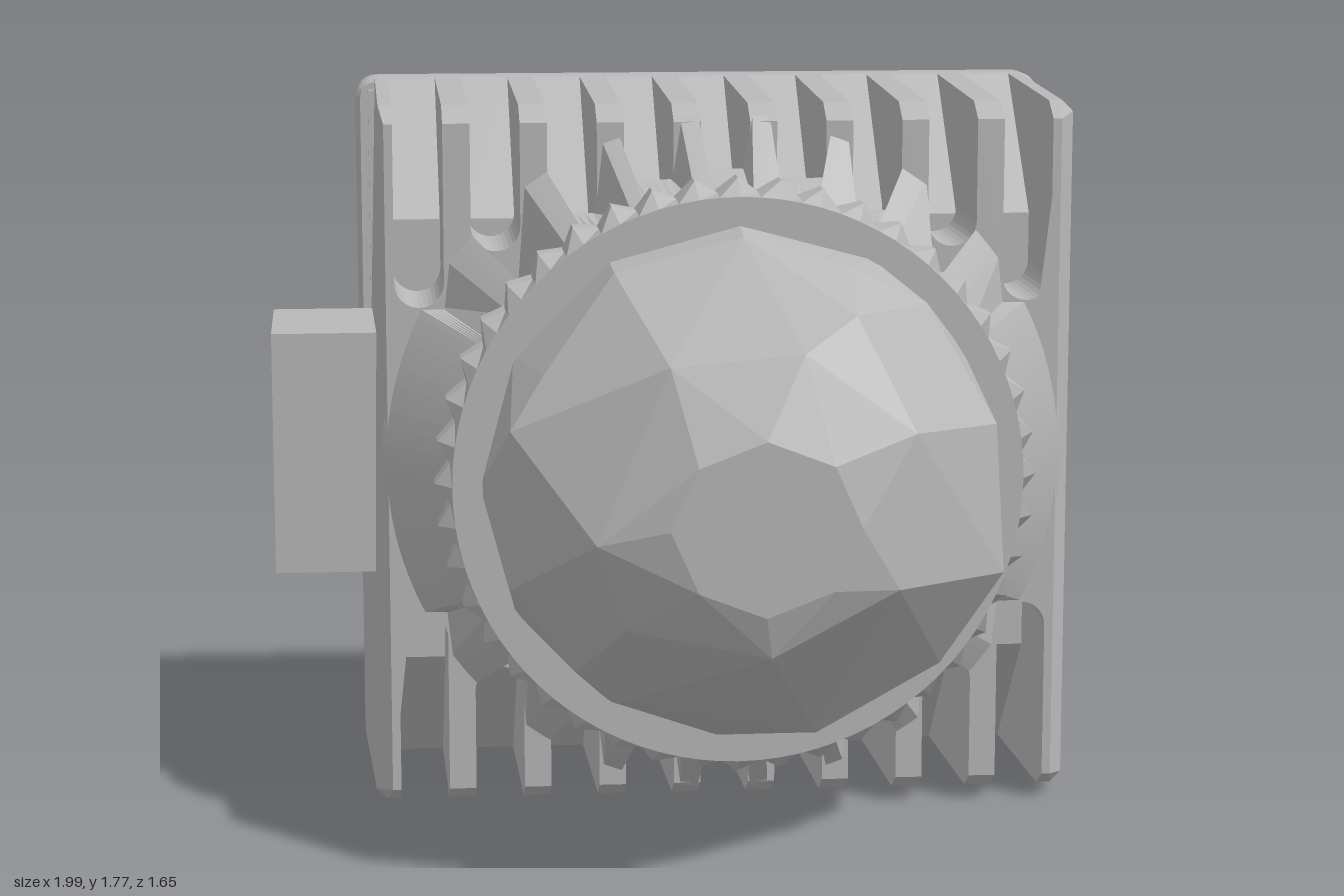
import * as THREE from 'three';
import { ConvexGeometry } from 'three/addons/geometries/ConvexGeometry.js';

const CX = 0.105, CY = 0.9;            // axis of housing and lens
const HALF = 0.887;                    // half size of the square housing
const SLOT = 0.06;                     // half width of a cooling slot
const slotXs = Array.from({ length: 9 }, (_, i) => (i - 4) * 0.186);
// distance from the axis at which each slot ends, following a circle of radius r
const slotEnd = (x, r) => Math.max(0.38, Math.sqrt(Math.max(0, r * r - x * x)));
const housingSlotEnd = x => Math.min(0.52, slotEnd(x, 0.76));

// move every vertex by a rule and make the faces flat
function reshape(geometry, rule) {
  const g = geometry.index ? geometry.toNonIndexed() : geometry;
  const p = g.attributes.position, v = new THREE.Vector3();
  for (let i = 0; i < p.count; i++) {
    v.fromBufferAttribute(p, i);
    rule(v);
    p.setXYZ(i, v.x, v.y, v.z);
  }
  g.computeVertexNormals();
  return g;
}

// square outline with rounded-end slots in top and bottom
function finnedShape() {
  const h = HALF, c = 0.05, s = new THREE.Shape();
  s.moveTo(-h, -h + c);
  s.lineTo(-h + c, -h);
  for (const x of slotXs) {
    s.lineTo(x - SLOT, -h);
    s.absarc(x, -housingSlotEnd(x) - SLOT, SLOT, Math.PI, 0, true);
    s.lineTo(x + SLOT, -h);
  }
  s.lineTo(h - c, -h);
  s.lineTo(h, -h + c);
  s.lineTo(h, h - c);
  s.lineTo(h - c, h);
  for (const x of [...slotXs].reverse()) {
    s.lineTo(x + SLOT, h);
    s.absarc(x, housingSlotEnd(x) + SLOT, SLOT, 0, Math.PI, true);
    s.lineTo(x - SLOT, h);
  }
  s.lineTo(-h + c, h);
  s.closePath();
  return s;
}

// back plate outline with screw holes and hanging slots
function plateShape() {
  const h = HALF - 0.012, c = 0.05, s = new THREE.Shape();
  s.moveTo(-h + c, -h);
  s.lineTo(h - c, -h);
  s.quadraticCurveTo(h, -h, h, -h + c);
  s.lineTo(h, h - c);
  s.quadraticCurveTo(h, h, h - c, h);
  s.lineTo(-h + c, h);
  s.quadraticCurveTo(-h, h, -h, h - c);
  s.lineTo(-h, -h + c);
  s.quadraticCurveTo(-h, -h, -h + c, -h);
  const hole = (x, y, r, tall = 0) => {
    const p = new THREE.Path();
    p.absarc(x, y + tall, r, 0, Math.PI, false);
    p.absarc(x, y - tall, r, Math.PI, Math.PI * 2, false);
    p.closePath();
    s.holes.push(p);
  };
  for (const x of [-1, 1]) for (const y of [-1, 1]) {
    hole(x * 0.67, y * 0.52, 0.032);
    hole(x * 0.79, y * 0.79, 0.05);
  }
  hole(0, 0.64, 0.038, 0.035);
  hole(0, -0.48, 0.038);
  return s;
}

export function createModel() {
  const model = new THREE.Group();
  const grey = new THREE.MeshStandardMaterial({ color: 0xb8b8b8 });
  grey.name = 'grey';
  const centred = new THREE.Group();
  centred.name = 'lampHead';
  centred.position.set(CX, CY, 0);
  model.add(centred);
  const add = (name, geometry, parent = centred) => {
    const mesh = new THREE.Mesh(geometry, grey);
    mesh.name = name;
    parent.add(mesh);
  };

  // finned housing, slightly tapered, its front edges drawn in as a chamfer
  const depth = 0.64;
  const body = new THREE.ExtrudeGeometry(finnedShape(), { depth, steps: 10, bevelEnabled: false, curveSegments: 8 });
  add('housing', reshape(body, v => {
    const limit = v.z > depth - 0.001 ? 0.825 : HALF - 0.025 * v.z / depth;
    v.x = THREE.MathUtils.clamp(v.x, -limit, limit);
    v.y = THREE.MathUtils.clamp(v.y, -limit, limit);
    v.z -= 0.69;
  }));

  // slot floors: a 45 degree slope, then upright
  const slope = new THREE.Shape();
  slope.moveTo(0.69, 0.36);
  slope.lineTo(0.69, HALF);
  slope.lineTo(0.67, HALF);
  slope.lineTo(0.35, 0.56);
  slope.lineTo(0.35, 0.36);
  for (const x of slotXs) for (const side of [1, -1]) {
    const floor = new THREE.ExtrudeGeometry(slope, { depth: SLOT * 2, bevelEnabled: false });
    floor.rotateY(Math.PI / 2);
    if (side < 0) floor.rotateZ(Math.PI);
    floor.translate(x - side * SLOT, 0, 0);
    add('slotFloor', floor);
  }

  // back plate, separated by a fine seam
  const plate = new THREE.ExtrudeGeometry(plateShape(), {
    depth: 0.081, bevelThickness: 0.012, bevelSize: 0.012, bevelSegments: 1, curveSegments: 8,
  });
  plate.translate(0, 0, -0.788);
  add('backPlate', plate);
  const seam = new THREE.BoxGeometry(1.71, 1.71, 0.03);
  seam.translate(0, 0, -0.685);
  add('seamFiller', seam);

  // conical collar, slotted at its foot and round at its front
  const outline = [];
  for (let i = 0; i < 240; i++) {
    const a = i / 240 * Math.PI * 2;
    const x = 0.84 * Math.cos(a);
    let y = 0.84 * Math.sin(a);
    const slot = slotXs.find(s => Math.abs(s - x) < SLOT);
    if (slot !== undefined) y = Math.sign(y) * Math.min(Math.abs(y), slotEnd(slot, 0.71));
    outline.push(new THREE.Vector2(x, y));
  }
  const collar = new THREE.ExtrudeGeometry(new THREE.Shape(outline), { depth: 0.17, bevelEnabled: false });
  add('collar', reshape(collar, v => {
    if (v.z > 0.1) {
      const k = 0.65 / Math.hypot(v.x, v.y);
      v.x *= k;
      v.y *= k;
    }
    v.z -= 0.06;
  }));

  // knurled ring with faceted teeth
  const teeth = 44;
  const ring = new THREE.CylinderGeometry(1, 1, 0.18, teeth * 2, 3);
  ring.rotateX(Math.PI / 2);
  add('knurledRing', reshape(ring, v => {
    const length = Math.hypot(v.x, v.y);
    if (length > 0.5) {
      const step = Math.round(Math.atan2(v.y, v.x) / Math.PI * teeth);
      const peak = step % 2 === 0;
      const edge = Math.abs(v.z) > 0.08;
      const r = edge ? 0.68 : (peak ? 0.72 : 0.685);
      v.x *= r / length;
      v.y *= r / length;
    }
    v.z += 0.2;
  }));

  // coarse, slightly irregular faceted lens
  const facets = [
    [-0.2, 1.42, 0.4], [0.1, 1.5, 0.4], [0.35, 1.43, 0.45], [0.53, 1.34, 0.4], [0.68, 1.07, 0.5],
    [0.7, 0.72, 0.51], [0.57, 0.48, 0.4], [0.27, 0.33, 0.45], [0.05, 0.29, 0.3], [-0.2, 0.42, 0.48],
    [-0.3, 0.5, 0.5], [-0.45, 0.7, 0.5], [-0.45, 1.08, 0.56], [-0.37, 1.2, 0.5],
    [0.33, 1.35, 0.66], [-0.1, 1.25, 0.74], [0.2, 1.28, 0.76], [0.45, 1.1, 0.78],
    [0.41, 0.75, 0.81], [0.12, 0.6, 0.82], [-0.2, 0.65, 0.73], [-0.27, 0.86, 0.8],
  ];
  const points = facets.map(([x, y, z]) => new THREE.Vector3(x - CX, y - CY, z));
  for (let i = 0; i < 12; i++) {
    const a = i / 12 * Math.PI * 2;
    points.push(new THREE.Vector3(0.615 * Math.cos(a), 0.615 * Math.sin(a), 0.26));
    if (i < 8) points.push(new THREE.Vector3(0.215 * Math.cos(a * 1.5), 0.2 * Math.sin(a * 1.5), 0.853));
  }
  add('lens', new ConvexGeometry(points));

  // connector block on the side
  const block = new THREE.BoxGeometry(0.26, 0.6, 0.43);
  block.translate(-0.87, 0.9, -0.405);
  add('connectorBlock', block, model);

  return model;
}
